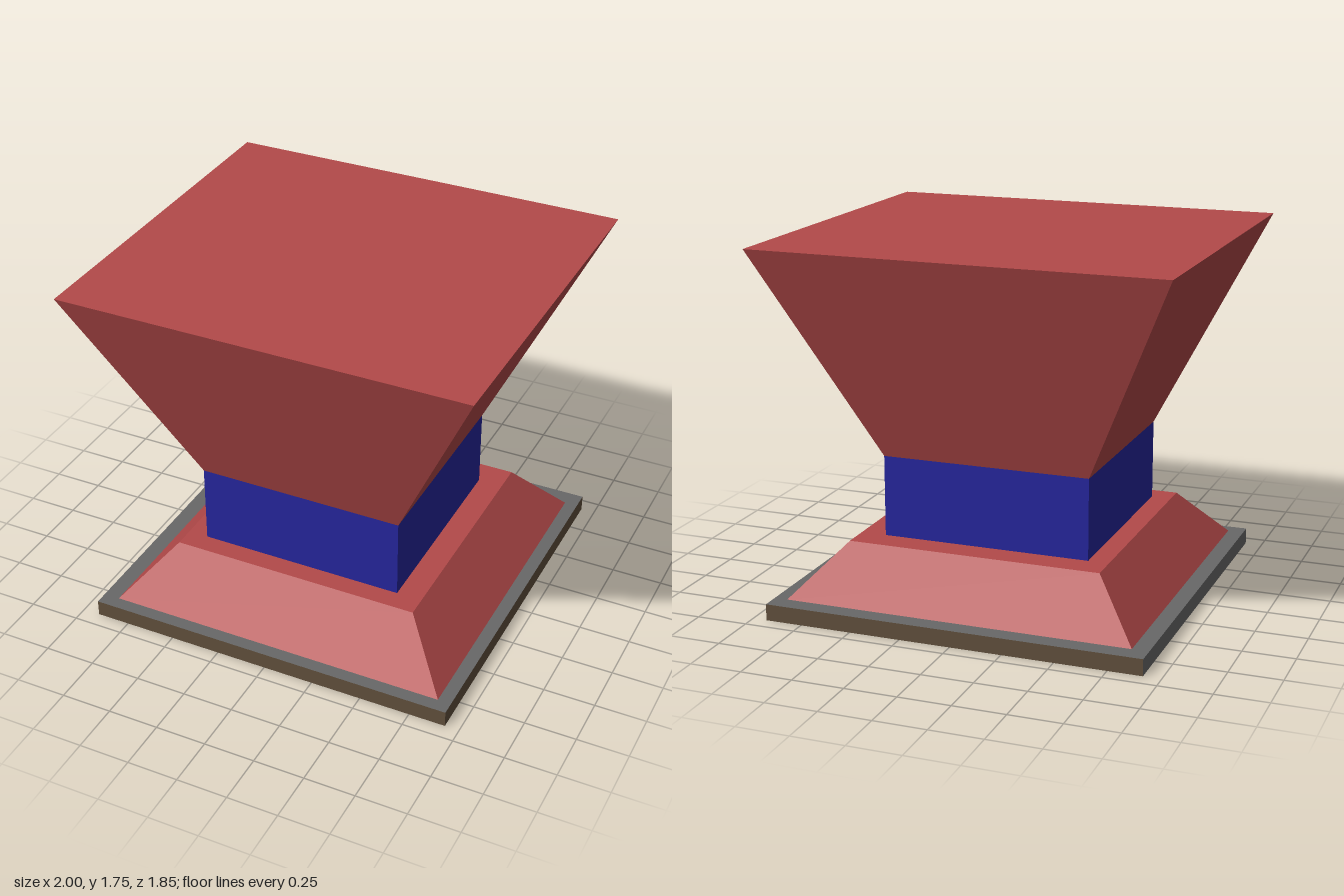
import * as THREE from 'three';

const red = new THREE.MeshStandardMaterial({ name: 'brickRed', color: 0xb24949 });
const blue = new THREE.MeshStandardMaterial({ name: 'deepBlue', color: 0x25259a });
const brown = new THREE.MeshStandardMaterial({ name: 'woodBrown', color: 0x5f4e3b, side: THREE.DoubleSide });
const grey = new THREE.MeshStandardMaterial({ name: 'stoneGrey', color: 0x686868, side: THREE.DoubleSide });

// Box face order
const RIGHT = 0, LEFT = 1, TOP = 2, BOTTOM = 3, FRONT = 4, BACK = 5;
const SIDES = [RIGHT, LEFT, FRONT, BACK];

// Tapered block between two rectangles [minX, maxX, minZ, maxZ], keeping only the listed faces
function taperedBlock(name, material, y0, y1, lower, upper, faces) {
  const geometry = new THREE.BoxGeometry(1, 1, 1);
  const p = geometry.attributes.position;
  for (let i = 0; i < p.count; i++) {
    const isTop = p.getY(i) > 0;
    const r = isTop ? upper : lower;
    p.setXYZ(i, p.getX(i) < 0 ? r[0] : r[1], isTop ? y1 : y0, p.getZ(i) < 0 ? r[2] : r[3]);
  }
  const index = Array.from(geometry.index.array);
  geometry.setIndex(faces.flatMap((f) => index.slice(f * 6, f * 6 + 6)));
  geometry.clearGroups();
  geometry.computeVertexNormals();
  const mesh = new THREE.Mesh(geometry, material);
  mesh.name = name;
  return mesh;
}

export function createModel() {
  const group = new THREE.Group();
  group.name = 'pedestal';

  const slab = [-0.915, 0.93, -0.925, 0.925];
  const skirtLower = [-0.835, 0.865, -0.835, 0.86];
  const skirtUpper = [-0.615, 0.63, -0.63, 0.625];
  const neck = [-0.515, 0.505, -0.495, 0.525];
  const crown = [-1, 1, -0.885, 0.92];

  group.add(
    // Hollow slab, open underneath
    taperedBlock('slabTopAndLeftEdge', grey, 0, 0.08, slab, slab, [TOP, LEFT]),
    taperedBlock('slabEdges', brown, 0, 0.08, slab, slab, [RIGHT, FRONT, BACK]),
    // Sloped skirt, neck and flared crown
    taperedBlock('skirt', red, 0.08, 0.335, skirtLower, skirtUpper, [...SIDES, TOP]),
    taperedBlock('neck', blue, 0.335, 0.73, neck, neck, SIDES),
    taperedBlock('crown', red, 0.73, 1.755, neck, crown, [...SIDES, TOP, BOTTOM])
  );
  return group;
}
